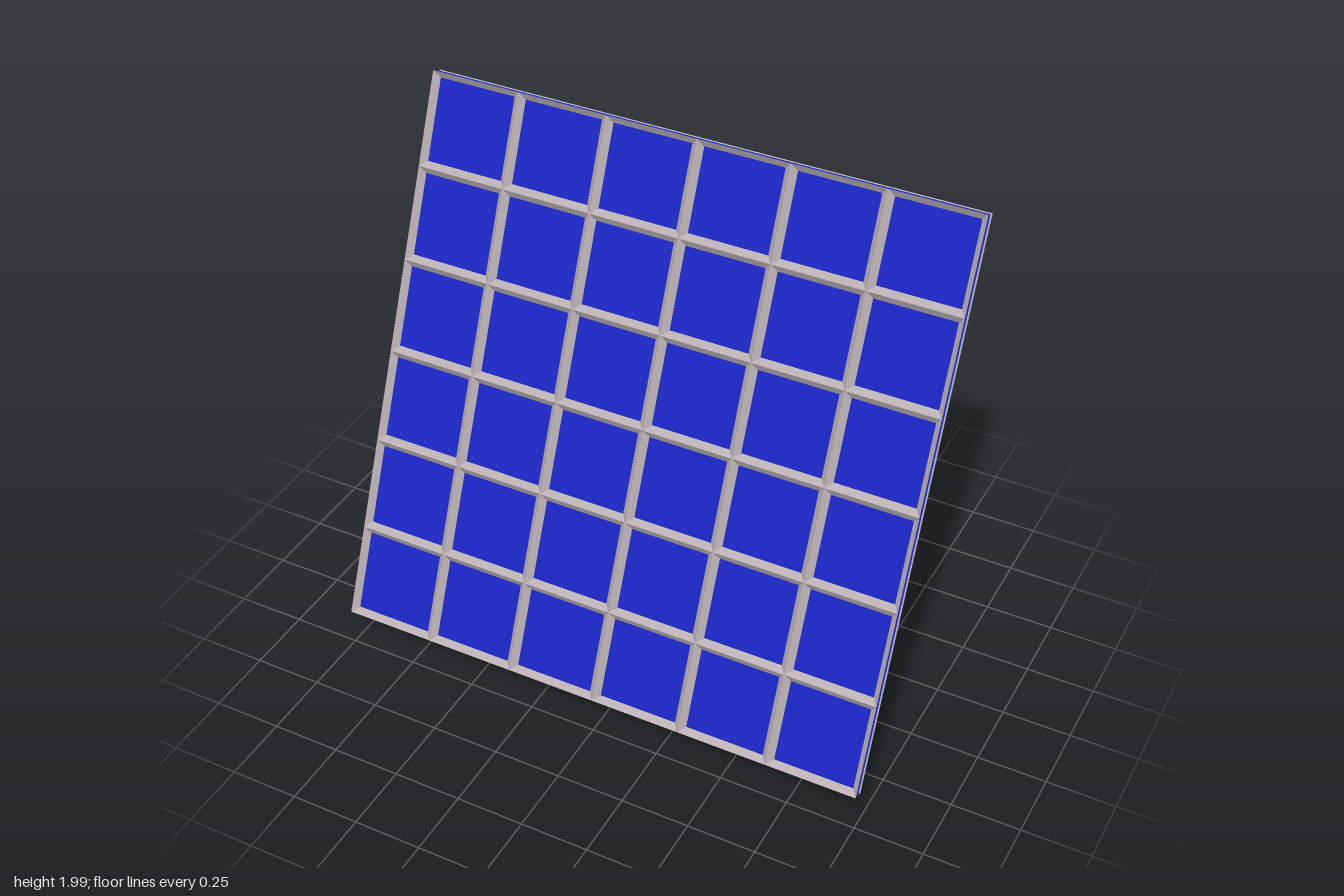
import * as THREE from 'three';
import { mergeGeometries } from 'three/addons/utils/BufferGeometryUtils.js';

const SIZE = 2, CELLS = 6, BEVEL = 0.0215;
const CELL = SIZE / CELLS;

const material = (color, flatShading = false) =>
  new THREE.MeshStandardMaterial({ color, flatShading, side: THREE.DoubleSide });

// Open square funnel: narrow end on the sheet (z = 0), wide end at z = side * BEVEL
function cellRim(side) {
  const outer = CELL / Math.SQRT2, inner = (CELL - 2 * BEVEL) / Math.SQRT2;
  const g = new THREE.CylinderGeometry(outer, inner, BEVEL, 4, 1, true, Math.PI / 4);
  return g.translate(0, BEVEL / 2, 0).rotateX(side * Math.PI / 2);
}

export function createModel() {
  const model = new THREE.Group();
  model.name = 'solarPanel';

  // Tilted panel: a thin sheet with sloped frame bars on both faces
  const panel = new THREE.Group();
  panel.name = 'panel';

  const sheet = new THREE.Mesh(new THREE.PlaneGeometry(SIZE, SIZE), material(0x0d1dc0));
  sheet.name = 'cellSheet';
  panel.add(sheet);

  // Neighbouring rims meet in ridges and leave open diamond bars between cells
  const rims = [];
  for (let i = 0; i < CELLS; i++)
    for (let j = 0; j < CELLS; j++)
      for (const side of [1, -1])
        rims.push(cellRim(side).translate((i + 0.5) * CELL - SIZE / 2, (j + 0.5) * CELL - SIZE / 2, 0));
  const frame = new THREE.Mesh(mergeGeometries(rims), material(0xb8aeb2, true));
  frame.name = 'gridFrame';
  panel.add(frame);

  panel.rotation.x = -THREE.MathUtils.degToRad(22.7);
  panel.position.set(0, 1.062, 0.1);
  model.add(panel);

  // Flat rear strut from the ground to the back of the panel
  const foot = new THREE.Vector2(-0.51, 0), head = new THREE.Vector2(0.216, 0.78);
  const d = head.clone().sub(foot);
  const strut = new THREE.Mesh(new THREE.PlaneGeometry(0.36, d.length()), material(0xcccccc));
  strut.name = 'rearStrut';
  strut.rotation.x = Math.atan2(d.x, d.y);
  strut.position.set(0, (foot.y + head.y) / 2, (foot.x + head.x) / 2);
  model.add(strut);

  return model;
}
